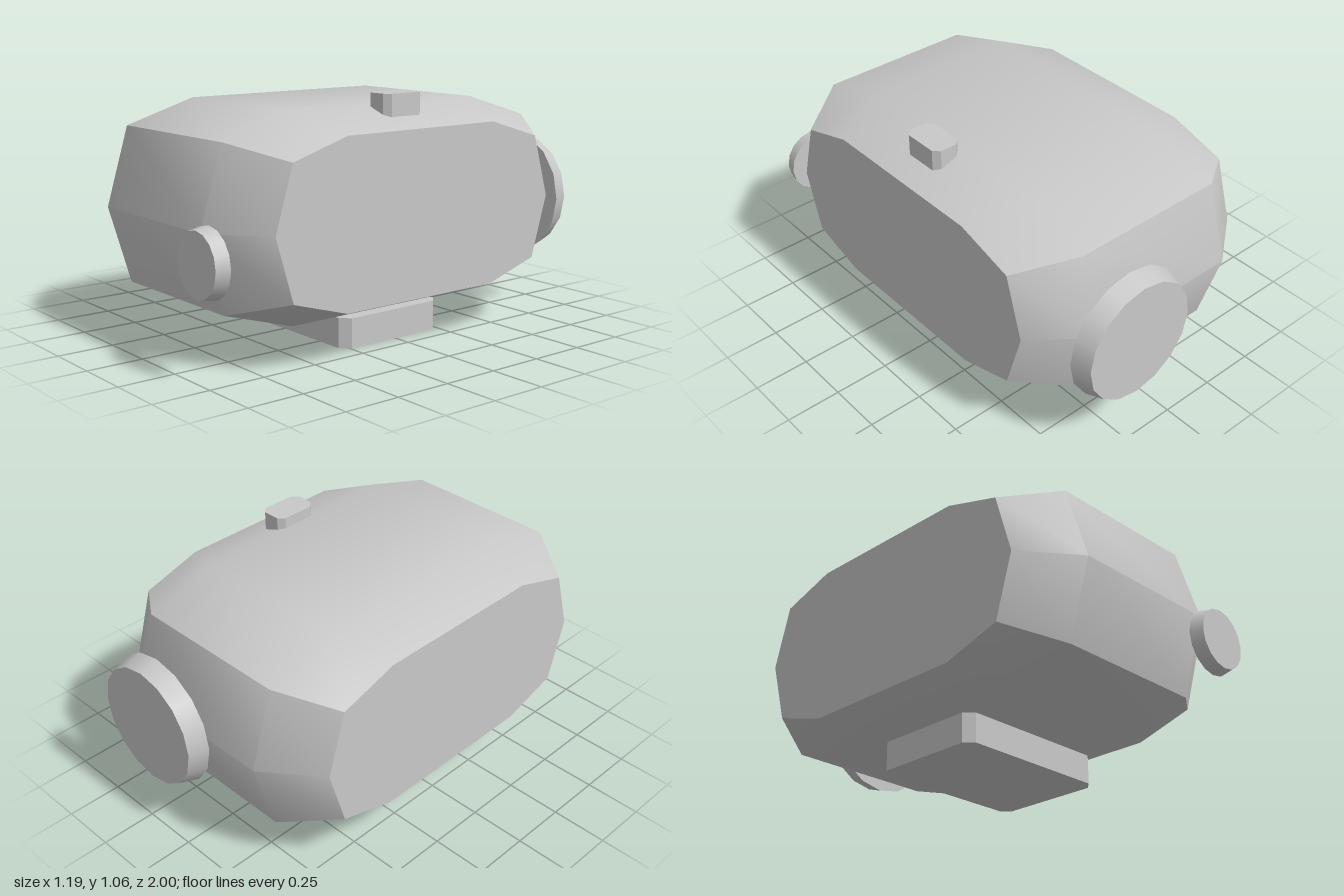
import * as THREE from 'three';
import { toCreasedNormals } from 'three/addons/utils/BufferGeometryUtils.js';

const CZ = 0.013; // z of the body's centre

// Faceted shell: a ten-sided section, shrunk towards both flat sides
function shellGeometry() {
  const half = [[0.495, 0.44], [0.825, 0.34], [0.928, 0], [0.825, -0.34], [0.495, -0.44]];
  const section = [...half, ...half.map(([z, y]) => [-z, -y])];
  const rings = [[-0.597, 0.805], [-0.36, 1], [0.36, 1], [0.597, 0.805]];
  const n = section.length;
  const pos = [];
  const index = [];
  for (const [x, s] of rings) {
    for (const [z, y] of section) pos.push(x, 0.57 + y * s, CZ + z * s);
  }
  for (let i = 0; i < rings.length - 1; i++) {
    for (let j = 0; j < n; j++) {
      const a = i * n + j, b = i * n + (j + 1) % n;
      index.push(a, b, b + n, a, b + n, a + n);
    }
  }
  // flat side caps
  const last = (rings.length - 1) * n;
  for (let j = 1; j < n - 1; j++) {
    index.push(0, j + 1, j);
    index.push(last, last + j, last + j + 1);
  }
  const g = new THREE.BufferGeometry();
  g.setAttribute('position', new THREE.Float32BufferAttribute(pos, 3));
  g.setIndex(index);
  return toCreasedNormals(g, Math.PI / 4);
}

// Upright block with chamfered vertical corners, standing on y = 0
function chamferedBlock(w, d, h, c) {
  const x = w / 2, z = d / 2;
  const shape = new THREE.Shape([
    [x, -z + c], [x, z - c], [x - c, z], [-x + c, z],
    [-x, z - c], [-x, -z + c], [-x + c, -z], [x - c, -z],
  ].map(([u, v]) => new THREE.Vector2(u, v)));
  return new THREE.ExtrudeGeometry(shape, { depth: h, bevelEnabled: false }).rotateX(-Math.PI / 2);
}

// Tapered disc along z; dir = 1 narrows to the front, -1 to the back
function taperedDisc(rBase, rEnd, depth, dir) {
  return new THREE.CylinderGeometry(rEnd, rBase, depth, 16).rotateX(dir * Math.PI / 2);
}

export function createModel() {
  const group = new THREE.Group();
  const grey = new THREE.MeshStandardMaterial({ color: 0xc8c8c8 });
  grey.name = 'grey';

  const add = (name, geometry, x, y, z) => {
    const mesh = new THREE.Mesh(geometry, grey);
    mesh.name = name;
    mesh.position.set(x, y, z);
    group.add(mesh);
  };

  add('body', shellGeometry(), 0, 0, 0);
  add('base', chamferedBlock(0.77, 0.54, 0.13, 0.04), 0.035, 0, CZ);
  add('topButton', chamferedBlock(0.13, 0.204, 0.095, 0.026), 0.42, 0.965, CZ);
  add('frontLens', taperedDisc(0.146, 0.134, 0.06, 1), 0.42, 0.465, 0.97);
  add('rearLens', taperedDisc(0.297, 0.27, 0.085, -1), 0.206, 0.518, -0.9575);

  return group;
}
